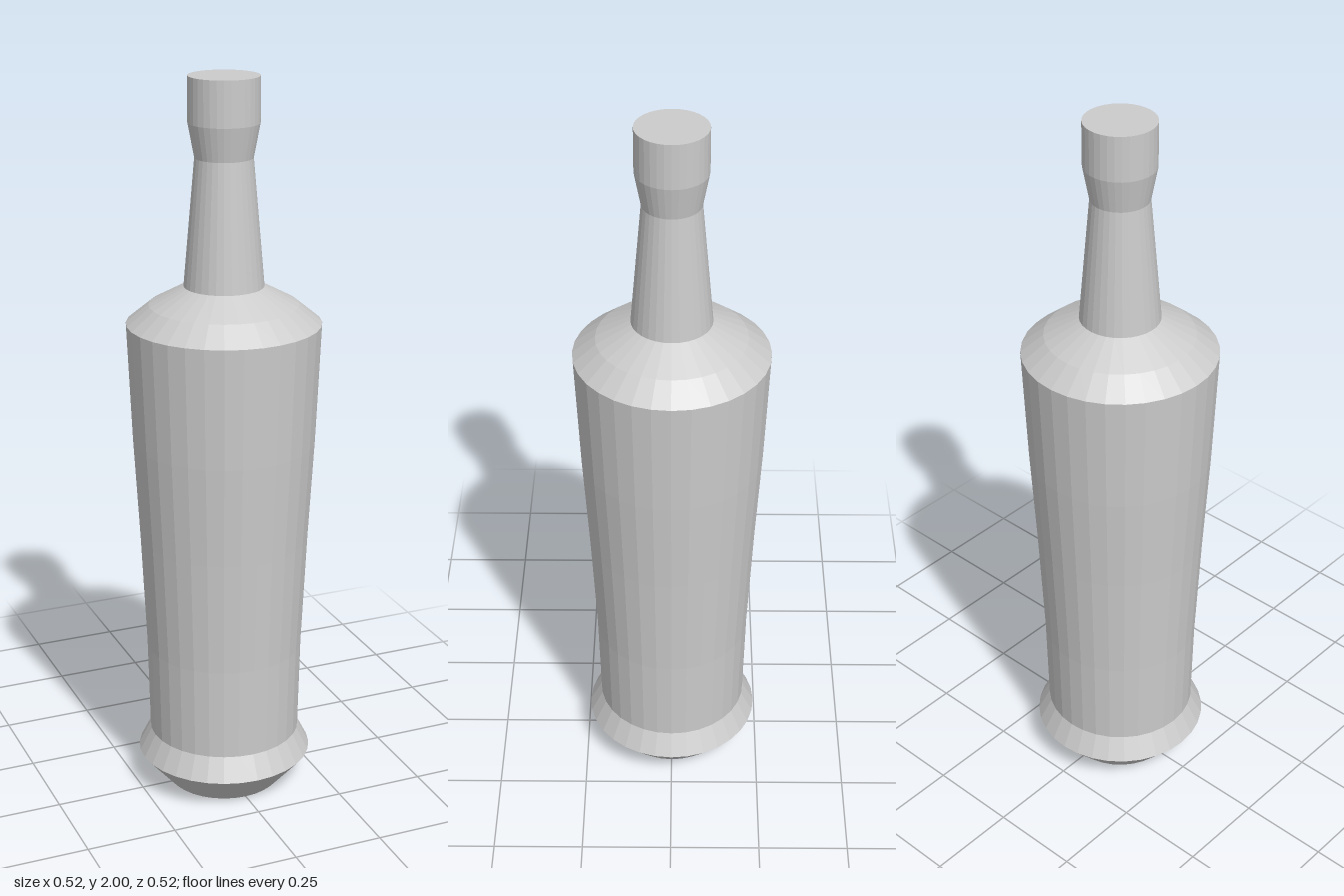
import * as THREE from 'three';

const SIDES = 32;

// Turned section from [radius, height] pairs, listed bottom to top
function turned(name, profile, material) {
  const points = profile.map(([r, y]) => new THREE.Vector2(r, y));
  const mesh = new THREE.Mesh(new THREE.LatheGeometry(points, SIDES), material);
  mesh.name = name;
  return mesh;
}

export function createModel() {
  const model = new THREE.Group();
  model.name = 'bottle';
  const material = new THREE.MeshStandardMaterial({ color: 0xcccccc, flatShading: true });

  model.add(
    // Closed, bevelled foot
    turned('base', [[0, 0], [0.16, 0], [0.243, 0.095], [0.21, 0.16]], material),
    // Gently flaring body
    turned('body', [[0.21, 0.16], [0.216, 0.42], [0.231, 0.74], [0.247, 1.02], [0.261, 1.35]], material),
    // Two-step sloping shoulder
    turned('shoulder', [[0.261, 1.35], [0.2, 1.4], [0.107, 1.45]], material),
    // Tapering neck
    turned('neck', [[0.107, 1.45], [0.077, 1.79]], material),
    // Widened, closed mouth
    turned('mouth', [[0.077, 1.79], [0.094, 1.88], [0.094, 2], [0, 2]], material)
  );
  return model;
}
